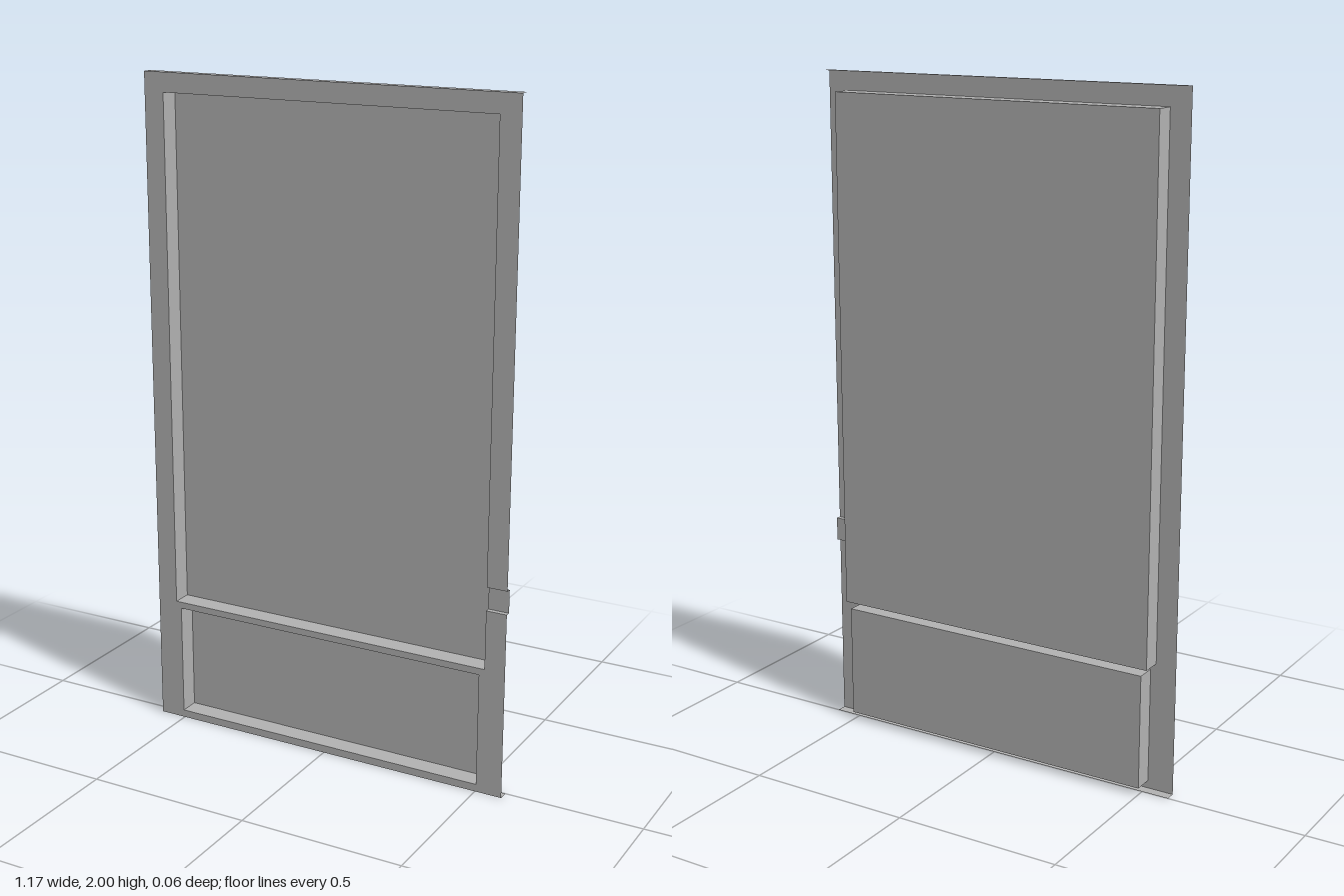
import * as THREE from 'three';

// Pressed sheet panel: thin open surfaces, all dimensions in units
const W = 0.583, H = 2, FRONT = 0.03, BACK = -0.03;
const upper = { x: 0.52, y0: 0.388, y1: 1.943 };
const lower = { x: 0.503, y0: 0.023, y1: 0.368 };
const notch = { y0: 0.567, y1: 0.637, z: 0.015 };

export function createModel() {
  const group = new THREE.Group();
  const metal = new THREE.MeshStandardMaterial({ color: 0xb2b2b2, side: THREE.DoubleSide });
  metal.name = 'grey sheet metal';

  const add = (name, geometry, parent = group) => {
    const mesh = new THREE.Mesh(geometry, metal);
    mesh.name = name;
    parent.add(mesh);
    return mesh;
  };
  const shapeOf = (points) => new THREE.Shape(points.map(([x, y]) => new THREE.Vector2(x, y)));

  // Sheet facing the front or back
  const facing = (name, x0, x1, y0, y1, z, parent) =>
    add(name, new THREE.PlaneGeometry(x1 - x0, y1 - y0)
      .translate((x0 + x1) / 2, (y0 + y1) / 2, z), parent);

  // Horizontal sheet
  const shelf = (name, x0, x1, y, z0, z1, parent) =>
    add(name, new THREE.PlaneGeometry(x1 - x0, z1 - z0).rotateX(-Math.PI / 2)
      .translate((x0 + x1) / 2, y, (z0 + z1) / 2), parent);

  // Upright side sheet from an outline of (z, y) points
  const sideWall = (name, x, points, parent) =>
    add(name, new THREE.ShapeGeometry(shapeOf(points.map(([z, y]) => [-z, y])))
      .rotateY(Math.PI / 2).translate(x, 0, 0), parent);

  // Front frame: the upper opening runs out through the notch at the left edge
  const frame = shapeOf([
    [-W, 0], [W, 0], [W, notch.y0], [upper.x, notch.y0],
    [upper.x, upper.y0], [-upper.x, upper.y0], [-upper.x, upper.y1], [upper.x, upper.y1],
    [upper.x, notch.y1], [W, notch.y1], [W, H], [-W, H],
  ]);
  frame.holes.push(new THREE.Path(shapeOf([
    [-lower.x, lower.y0], [-lower.x, lower.y1], [lower.x, lower.y1], [lower.x, lower.y0],
  ]).getPoints()));
  add('frontFrame', new THREE.ShapeGeometry(frame).translate(0, 0, FRONT));

  // Folded lips along the top and bottom edges
  shelf('topLip', -W, W, H, 0, FRONT);
  shelf('bottomLip', -W, W, 0, 0, FRONT);

  // Recessed trays, open to the front
  const tray = (name, { x, y0, y1 }, cut = []) => {
    const part = new THREE.Group();
    part.name = name;
    group.add(part);
    facing('trayBack', -x, x, y0, y1, BACK, part);
    shelf('trayTop', -x, x, y1, BACK, FRONT, part);
    shelf('trayBottom', -x, x, y0, BACK, FRONT, part);
    const outline = [[FRONT, y0], [BACK, y0], [BACK, y1], [FRONT, y1]];
    sideWall('trayRightWall', -x, outline, part);
    sideWall('trayLeftWall', x, [...outline, ...cut], part);
  };
  tray('upperTray', upper, [
    [FRONT, notch.y1], [notch.z, notch.y1], [notch.z, notch.y0], [FRONT, notch.y0],
  ]);
  tray('lowerTray', lower);

  // Shallow notch joining the upper tray to the left edge
  const slot = new THREE.Group();
  slot.name = 'edgeNotch';
  group.add(slot);
  facing('notchFloor', upper.x, W, notch.y0, notch.y1, notch.z, slot);
  shelf('notchTop', upper.x, W, notch.y1, notch.z, FRONT, slot);
  shelf('notchBottom', upper.x, W, notch.y0, notch.z, FRONT, slot);

  return group;
}
